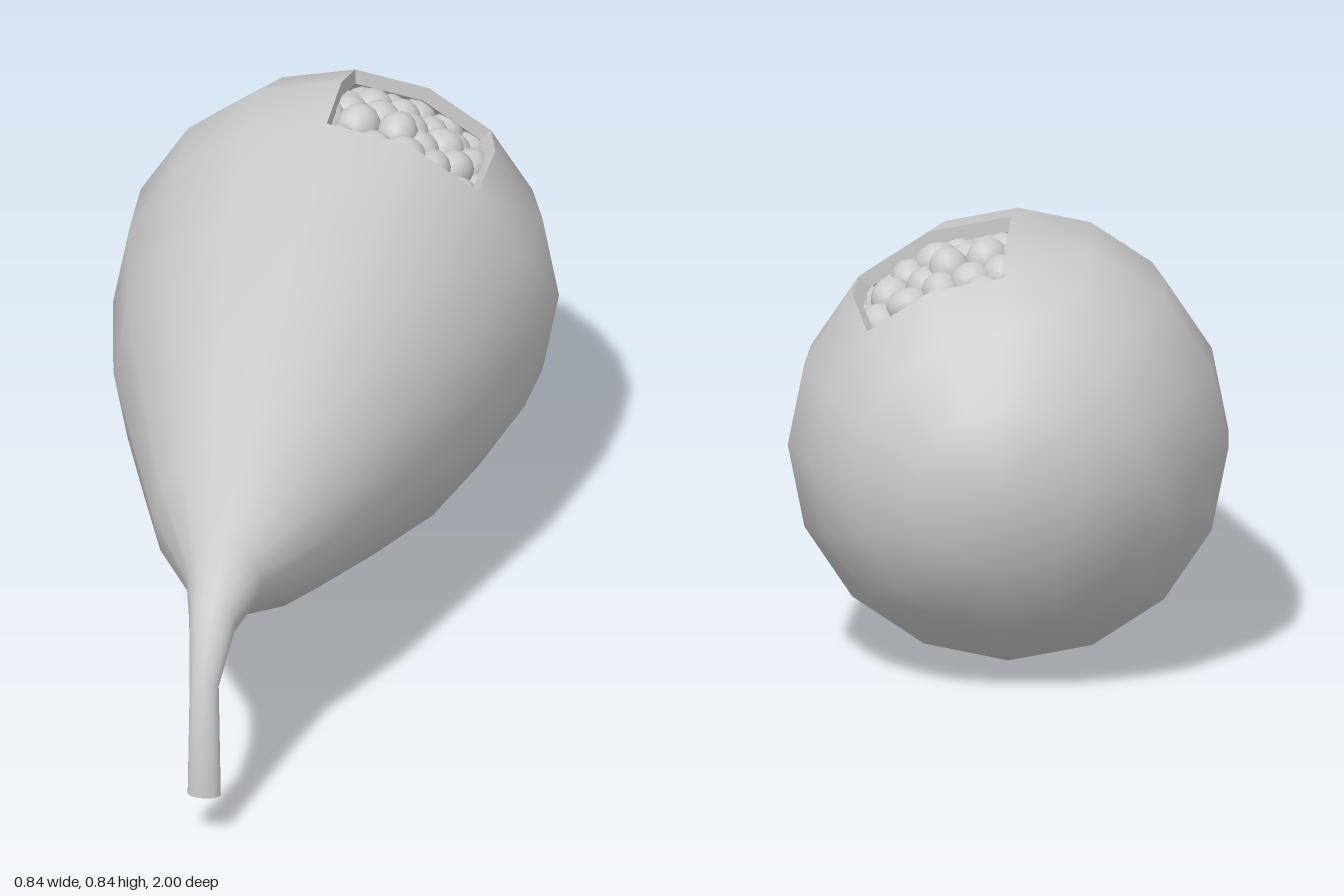
import * as THREE from 'three';
import { mergeVertices } from 'three/addons/utils/BufferGeometryUtils.js';

const SIDES = 16;
const WALL = 0.03;
// Rings from the rounded end to the tip: centre z, centre y, half width, half height, tilt of the ring
const RINGS = [
  [-1, 0.423, 0, 0, 0],
  [-0.97, 0.423, 0.16, 0.157, 0],
  [-0.89, 0.423, 0.287, 0.287, 0],
  [-0.76, 0.423, 0.37, 0.368, 0],
  [-0.6, 0.423, 0.42, 0.418, 0],
  [-0.43, 0.423, 0.413, 0.411, 0],
  [-0.13, 0.423, 0.362, 0.358, 0],
  [0.17, 0.423, 0.274, 0.278, 0],
  [0.48, 0.424, 0.183, 0.184, 0],
  [0.75, 0.427, 0.073, 0.074, 0],
  [0.885, 0.408, 0.045, 0.047, 0.2],
  [0.98, 0.32, 0.028, 0.025, 0.93],
  [0.98, 0.09, 0.032, 0.02, Math.PI / 2],
];
// The window spans these ring gaps and the first two sectors right of the top line
const inWindow = (i, j) => (i === 3 || i === 4) && j < 2;

function ringPoint(i, j, inset = 0) {
  const [z, y, w, h, tilt] = RINGS[i];
  const a = (j / SIDES) * Math.PI * 2;
  const up = Math.max(h - inset, 0) * Math.cos(a);
  return [Math.max(w - inset, 0) * Math.sin(a), y + up * Math.cos(tilt), z + up * Math.sin(tilt)];
}

function surface(positions, index) {
  let g = new THREE.BufferGeometry();
  g.setAttribute('position', new THREE.Float32BufferAttribute(positions.flat(), 3));
  g.setIndex(index);
  g = mergeVertices(g, 1e-5);
  g.computeVertexNormals();
  return g;
}

// Skin through the rings, leaving the window open
function skin(last, inset, inward) {
  const pos = [], index = [];
  for (let i = 0; i <= last; i++) for (let j = 0; j < SIDES; j++) pos.push(ringPoint(i, j, inset));
  for (let i = 0; i < last; i++) {
    for (let j = 0; j < SIDES; j++) {
      if (inWindow(i, j)) continue;
      const k = (j + 1) % SIDES;
      const a = i * SIDES + j, b = i * SIDES + k, c = a + SIDES, d = b + SIDES;
      if (inward) index.push(a, b, c, b, d, c);
      else index.push(a, c, b, b, c, d);
    }
  }
  return surface(pos, index);
}

// Cut faces of the wall around the window
function windowRim() {
  const loop = [[3, 0], [3, 1], [3, 2], [4, 2], [5, 2], [5, 1], [5, 0], [4, 0]];
  const pos = [];
  loop.forEach(([i, j], n) => {
    const [p, q] = loop[(n + 1) % loop.length];
    const a = ringPoint(i, j), b = ringPoint(p, q);
    const c = ringPoint(i, j, WALL), d = ringPoint(p, q, WALL);
    pos.push(a, b, c, b, d, c);
  });
  const g = new THREE.BufferGeometry();
  g.setAttribute('position', new THREE.Float32BufferAttribute(pos.flat(), 3));
  g.computeVertexNormals();
  return g;
}

export function createModel() {
  const model = new THREE.Group();
  model.name = 'hollowPouch';
  const mat = new THREE.MeshStandardMaterial({ color: 0xcccccc, side: THREE.DoubleSide });
  const add = (name, geometry, parent = model) => {
    const mesh = new THREE.Mesh(geometry, mat);
    mesh.name = name;
    parent.add(mesh);
    return mesh;
  };

  add('outerWall', skin(RINGS.length - 1, 0, false));
  add('innerWall', skin(9, WALL, true));
  add('windowRim', windowRim());

  // Flat end of the bent neck
  const cap = add('neckEnd', new THREE.CircleGeometry(1, SIDES));
  cap.rotation.x = Math.PI / 2;
  cap.scale.set(0.032, 0.02, 1);
  cap.position.set(0, 0.09, 0.98);

  // Pebbles packed in staggered rows, in two layers under the window
  const stones = new THREE.Group();
  stones.name = 'stones';
  model.add(stones);
  let seed = 11;
  const rand = () => (seed = (seed * 16807) % 2147483647) / 2147483647;
  const jitter = (s) => (rand() - 0.5) * s;
  const pebble = new THREE.SphereGeometry(1, 14, 10);
  for (let layer = 0; layer < 2; layer++) {
    for (let row = 0; row < 6; row++) {
      for (let col = 0; col < 6; col++) {
        const z = -0.41 - row * 0.072 + jitter(0.02) - layer * 0.03;
        const angle = -0.06 + (col + (row % 2) * 0.5) * 0.185 + jitter(0.05) + layer * 0.09;
        // Follow the wall as it closes toward the rounded end
        const wallRadius = 0.405 - Math.max(0, -0.58 - z) * 0.3;
        const r = wallRadius - 0.058 - layer * 0.06 + jitter(0.02);
        const stone = add('stone', pebble, stones);
        stone.position.set(r * Math.sin(angle), 0.423 + r * Math.cos(angle), z);
        stone.scale.set(0.038 + rand() * 0.007, 0.038 + rand() * 0.008, 0.042 + rand() * 0.008);
        stone.rotation.set(jitter(1), jitter(2.5), -angle);
      }
    }
  }
  return model;
}
